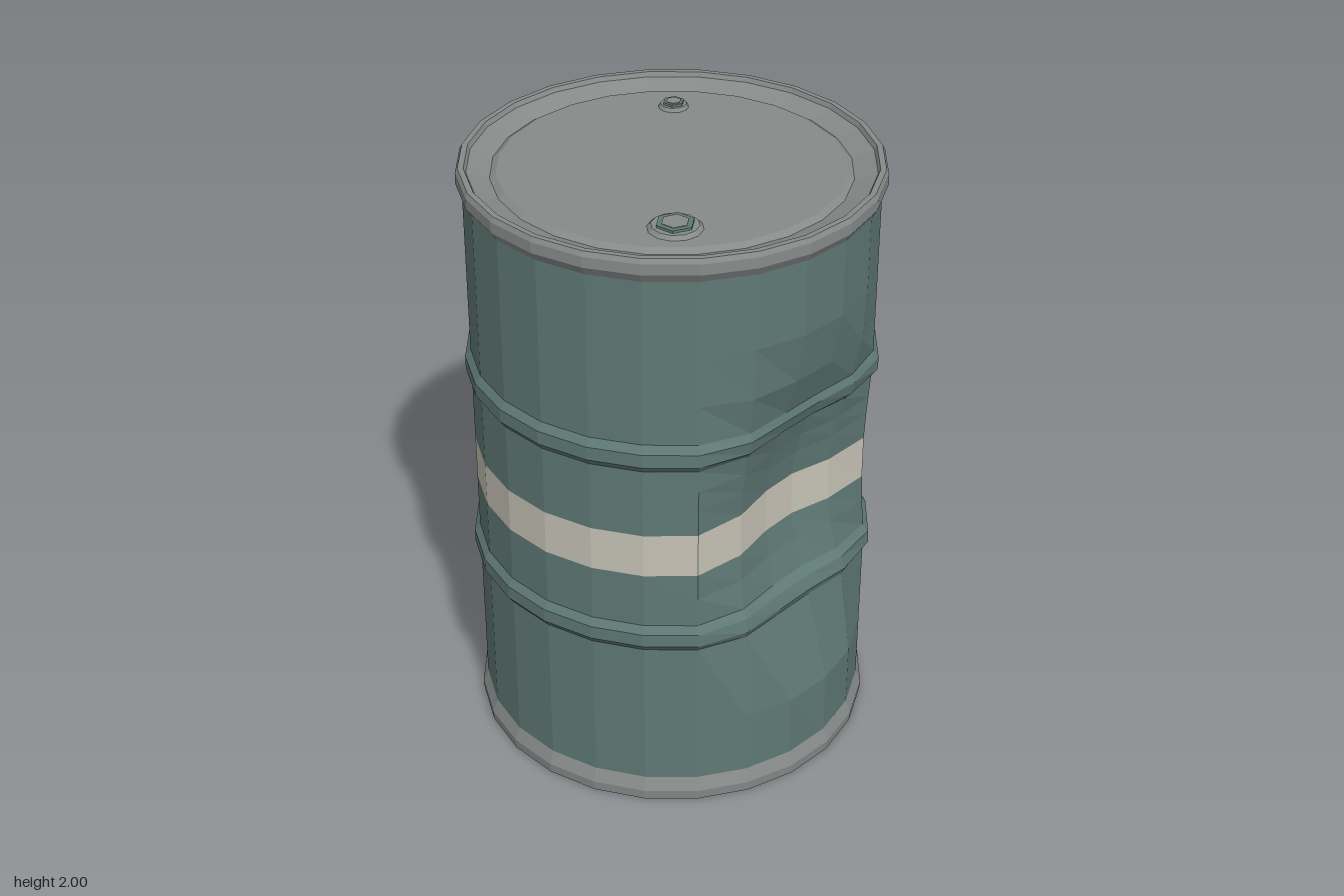
import * as THREE from 'three';

const SIDES = 24;

const paint = (name, color) => {
  const m = new THREE.MeshStandardMaterial({ color });
  m.name = name;
  return m;
};

// faceted normals on any geometry
function facet(geometry) {
  const g = geometry.index ? geometry.toNonIndexed() : geometry;
  g.computeVertexNormals();
  return g;
}

// dents: azimuth (from +z towards +x), height, half-width in radians, half-height, depth
const DENTS = [
  { az: -0.1, y: 0.98, w: 0.75, h: 0.7, depth: 0.17 },
  { az: 1.88, y: 1.67, w: 0.5, h: 0.36, depth: 0.08 },
];

// push vertices towards the axis inside each dent
function dent(geometry) {
  const p = geometry.attributes.position;
  for (let i = 0; i < p.count; i++) {
    const x = p.getX(i), y = p.getY(i), z = p.getZ(i);
    const r = Math.hypot(x, z), az = Math.atan2(x, z);
    let push = 0;
    for (const d of DENTS) {
      const k = 1 - ((az - d.az) / d.w) ** 2 - ((y - d.y) / d.h) ** 2;
      if (k > 0) push += d.depth * k * k;
    }
    p.setXYZ(i, x * (r - push) / r, y, z * (r - push) / r);
  }
  return geometry;
}

const lathe = (points) =>
  new THREE.LatheGeometry(points.map(([r, y]) => new THREE.Vector2(r, y)), SIDES);

export function createModel() {
  const root = new THREE.Group();
  root.name = 'drum';

  const green = paint('greenPaint', 0x5f7975);
  const cream = paint('creamStripe', 0xc6c2b6);
  const metal = paint('greyMetal', 0x868b89);

  const add = (name, geometry, material, parent = root) => {
    const mesh = new THREE.Mesh(facet(geometry), material);
    mesh.name = name;
    parent.add(mesh);
    return mesh;
  };

  // body walls with a rolling hoop each, split around the stripe
  const R = 0.64;
  const hoop = (y) => [[R, y - 0.05], [0.658, y - 0.025], [0.658, y + 0.02], [R, y + 0.045]];
  const lower = [[R, 0.07], [R, 0.3], ...hoop(0.655), [R, 0.8], [R, 0.89]];
  const upper = [[R, 1.04], [R, 1.13], [R, 1.2], ...hoop(1.325), [R, 1.5], [R, 1.67], [R, 1.93]];
  add('lowerBody', dent(lathe(lower)), green);
  add('stripe', dent(lathe([[R, 0.89], [R, 1.04]])), cream);
  add('upperBody', dent(lathe(upper)), green);

  // welded seam following the wall profile at the back
  const wall = [...lower, ...upper];
  const seamShape = new THREE.Shape([
    ...wall.map(([r, y]) => new THREE.Vector2(r + 0.004, y)),
    ...wall.map(([r, y]) => new THREE.Vector2(r - 0.01, y)).reverse(),
  ]);
  const seam = new THREE.ExtrudeGeometry(seamShape, { depth: 0.02, bevelEnabled: false });
  seam.translate(0, 0, -0.01).rotateY(Math.PI / 2);
  add('seam', seam, green);

  // bottom chime with recessed base
  add('bottomRim', lathe([
    [0, 0.02], [0.625, 0.02], [0.635, 0], [0.655, 0], [0.658, 0.035], [R, 0.08], [0.63, 0.08],
  ]), metal);

  // top chime, gutter, raised bead and lid
  add('topRimAndLid', lathe([
    [0.63, 1.92], [R, 1.92], [0.658, 1.95], [0.658, 1.985], [0.65, 2], [0.632, 2],
    [0.625, 1.985], [0.555, 1.962], [0.535, 1.975], [0, 1.975],
  ]), metal);

  // bungs: washer, hexagonal collar and plug
  const bung = (name, x, z, s) => {
    const g = new THREE.Group();
    g.name = name;
    g.position.set(x, 1.975, z);
    const disc = (part, r, h, y, sides, mat) =>
      add(part, new THREE.CylinderGeometry(r * s, r * s, h, sides).translate(0, y + h / 2, 0), mat, g);
    add('washer', new THREE.CylinderGeometry(0.072 * s, 0.084 * s, 0.012, 12).translate(0, 0.006, 0), metal, g);
    disc('hexCollar', 0.06, 0.01, 0.01, 6, green);
    disc('plug', 0.043, 0.012, 0.01, 6, metal);
    root.add(g);
  };
  bung('largeBung', -0.32, 0.26, 1);
  bung('smallBung', 0.33, -0.25, 0.58);

  return root;
}
